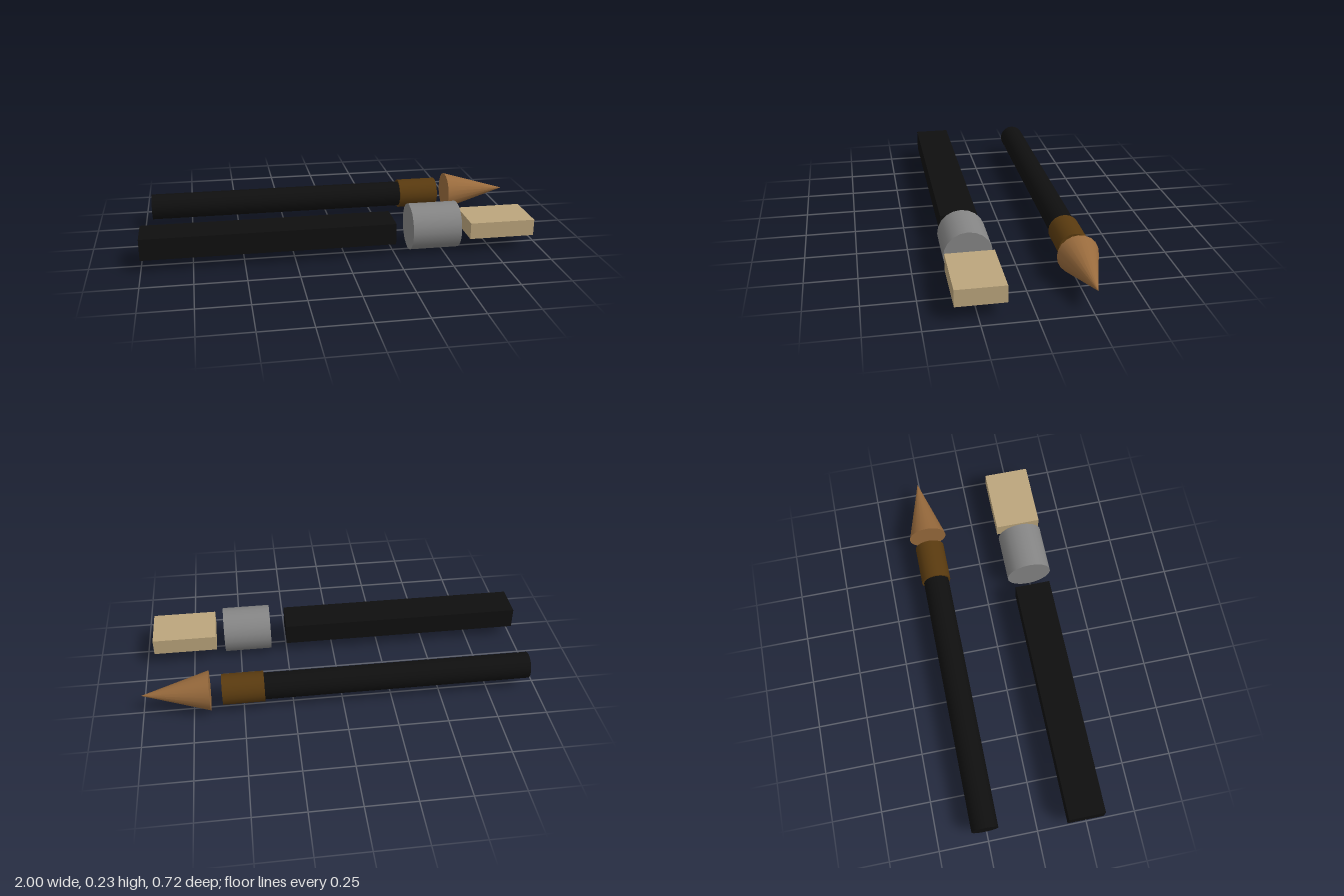
import * as THREE from 'three';

const mat = (name, color) => {
  const m = new THREE.MeshStandardMaterial({ color });
  m.name = name;
  return m;
};

export function createModel() {
  const black = mat('black handle', 0x0f0f0f);
  const brown = mat('dark brown', 0x593a0f);
  const grey = mat('grey metal', 0x858585);
  const copper = mat('copper brown bristle', 0x996b3d);
  const sand = mat('sand bristle', 0xbba57c);
  const axisY = 0.117;

  // A brush lies along x; each part spans x0 to x1 on the brush's axis
  const brush = (name, z) => {
    const g = new THREE.Group();
    g.name = name;
    g.position.set(0, axisY, z);
    const add = (part, geo, material, x0, x1) => {
      geo.translate((x0 + x1) / 2, 0, 0);
      const mesh = new THREE.Mesh(geo, material);
      mesh.name = part;
      g.add(mesh);
    };
    return {
      group: g,
      round: (part, material, x0, x1, r, tipR = r) =>
        add(part, new THREE.CylinderGeometry(tipR, r, x1 - x0, 20).rotateZ(-Math.PI / 2), material, x0, x1),
      box: (part, material, x0, x1, h, d) =>
        add(part, new THREE.BoxGeometry(x1 - x0, h, d), material, x0, x1),
    };
  };

  // Flat brush at the front
  const flat = brush('flatBrush', 0.241);
  flat.box('flatHandle', black, -1, 0.25, 0.108, 0.183);
  flat.round('flatFerrule', grey, 0.333, 0.58, 0.117);
  flat.box('flatBristles', sand, 0.625, 0.955, 0.083, 0.233);

  // Pointed round brush at the back
  const pointed = brush('pointedBrush', -0.258);
  pointed.round('roundHandle', black, -0.957, 0.393, 0.067);
  pointed.round('roundFerrule', brown, 0.393, 0.602, 0.077);
  pointed.round('pointedBristles', copper, 0.663, 1, 0.1, 0);

  const model = new THREE.Group();
  model.name = 'paintBrushes';
  model.add(flat.group, pointed.group);
  return model;
}
